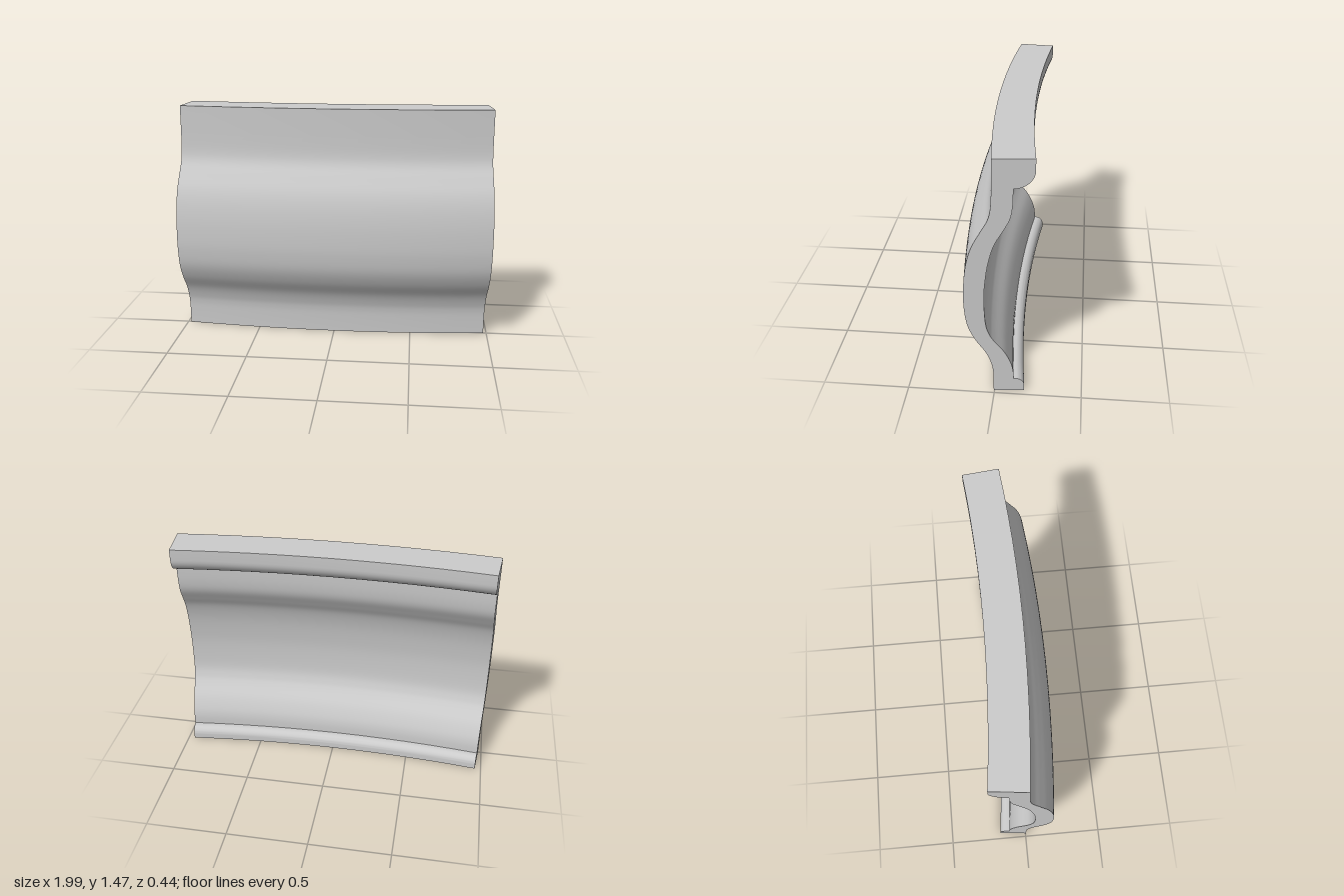
import * as THREE from 'three';
import { toCreasedNormals } from 'three/addons/utils/BufferGeometryUtils.js';

const HEIGHT = 1.47;
const RADIUS = 8.95;     // distance of the bend axis behind the panel
const HALF_ANGLE = 0.109;

const points = (list) => list.map(([z, y]) => new THREE.Vector2(z, y));

// Cross-section at the middle of the panel: x of the shape is depth, y is height
function profile() {
  const s = new THREE.Shape();
  s.moveTo(-0.118, 0);
  s.lineTo(0.058, 0);
  s.lineTo(0.058, 0.1);
  // bulging front face
  s.splineThru(points([
    [0.061, 0.15], [0.071, 0.2], [0.101, 0.275], [0.16, 0.368], [0.199, 0.46],
    [0.215, 0.56], [0.218, 0.655], [0.212, 0.77], [0.195, 0.878], [0.167, 0.966],
    [0.122, 1.05], [0.082, 1.122], [0.066, 1.19], [0.06, 1.3],
  ]));
  s.lineTo(0.058, HEIGHT);
  // rounded top lip
  s.lineTo(-0.166, HEIGHT);
  s.lineTo(-0.166, 1.404);
  s.absellipse(-0.053, 1.404, 0.113, 0.101, Math.PI, Math.PI * 1.5, false);
  // hollow back face
  s.splineThru(points([
    [-0.049, 1.2], [-0.034, 1.125], [0.007, 1.048], [0.049, 0.972], [0.08, 0.867],
    [0.098, 0.75], [0.106, 0.633], [0.1, 0.477], [0.08, 0.4], [0.053, 0.352],
    [-0.002, 0.278], [-0.038, 0.204], [-0.053, 0.146], [-0.057, 0.084],
  ]));
  // rounded bottom bead
  s.lineTo(-0.068, 0.084);
  s.absellipse(-0.068, 0.034, 0.05, 0.05, Math.PI / 2, Math.PI, false);
  s.closePath();
  return s;
}

export function createModel() {
  const geometry = new THREE.ExtrudeGeometry(profile(), {
    depth: 1, steps: 12, curveSegments: 5, bevelEnabled: false,
  });

  // Bend the straight extrusion around the vertical axis behind it
  const pos = geometry.attributes.position;
  for (let i = 0; i < pos.count; i++) {
    const angle = (pos.getZ(i) * 2 - 1) * HALF_ANGLE;
    const r = RADIUS + pos.getX(i);
    pos.setXYZ(i, -r * Math.sin(angle), pos.getY(i), r * Math.cos(angle) - RADIUS);
  }

  const panel = new THREE.Mesh(
    toCreasedNormals(geometry, 0.6),
    new THREE.MeshStandardMaterial({ color: 0xcccccc }),
  );
  panel.name = 'curvedMouldingPanel';

  const model = new THREE.Group();
  model.name = 'curvedMoulding';
  model.add(panel);
  return model;
}
